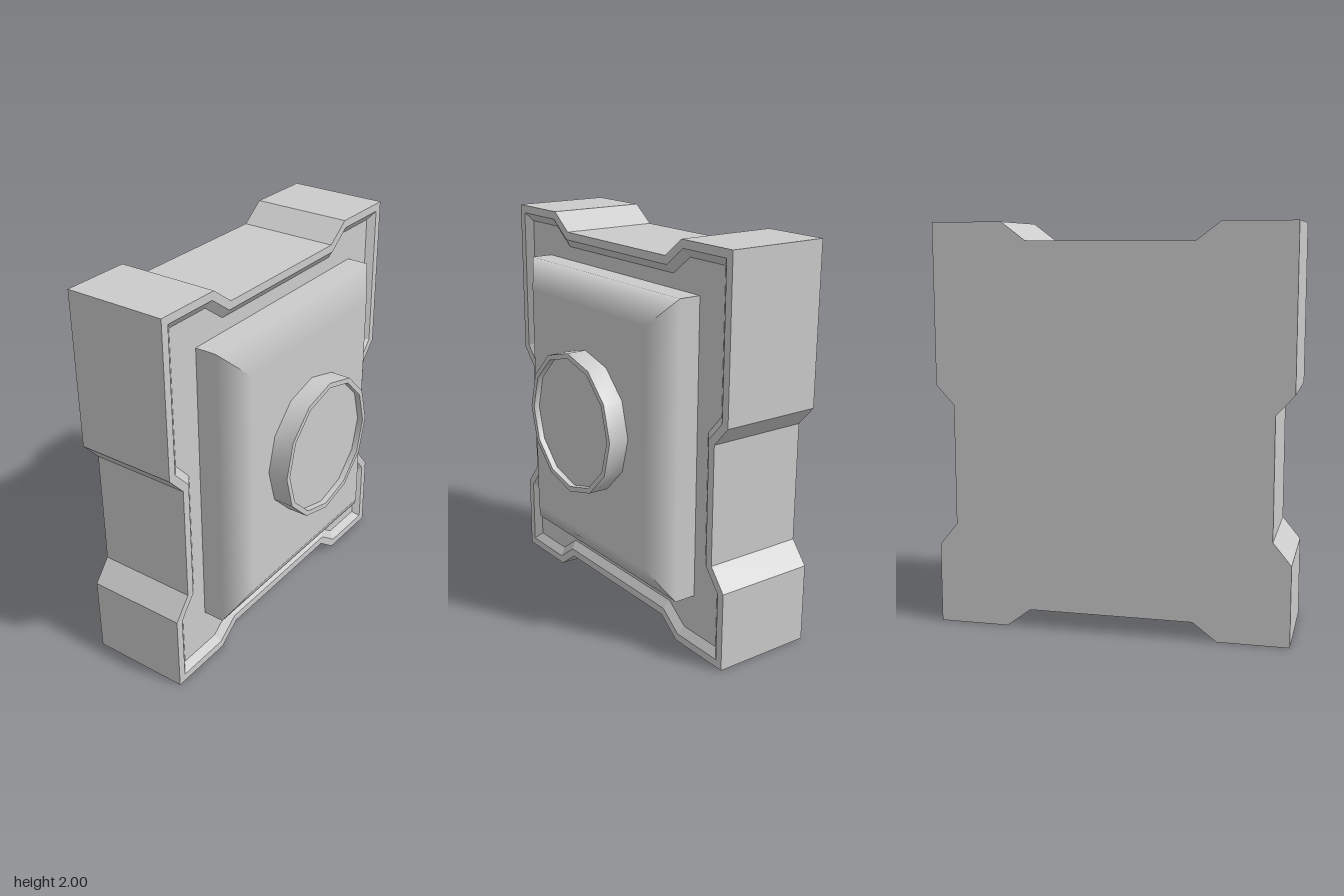
import * as THREE from 'three';
import { toCreasedNormals } from 'three/addons/utils/BufferGeometryUtils.js';

const material = new THREE.MeshStandardMaterial({ color: 0xcccccc });

// Skins rings of { pts, z, lean }; pts run counter-clockwise seen from the front.
// Lean blends the normal from sideways (0) to forwards (1); without it faces are flat.
function loft(rings) {
  const position = [], normal = [];
  const n = rings[0].pts.length;
  for (let r = 0; r < rings.length - 1; r++) {
    for (let i = 0; i < n; i++) {
      const j = (i + 1) % n;
      const [a, b] = [rings[0].pts[i], rings[0].pts[j]];
      const side = new THREE.Vector3(b.y - a.y, a.x - b.x, 0).normalize();
      for (const [k, m] of [[r, i], [r, j], [r + 1, j], [r, i], [r + 1, j], [r + 1, i]]) {
        const { pts, z, lean = 0 } = rings[k];
        position.push(pts[m].x, pts[m].y, z);
        normal.push(side.x * (1 - lean), side.y * (1 - lean), lean);
      }
    }
  }
  const geometry = new THREE.BufferGeometry();
  geometry.setAttribute('position', new THREE.Float32BufferAttribute(position, 3));
  if (rings[0].lean === undefined) geometry.computeVertexNormals();
  else geometry.setAttribute('normal', new THREE.Float32BufferAttribute(normal, 3));
  return geometry;
}

// Moves every edge of a counter-clockwise outline inwards by d, with mitred corners.
function inset(pts, d) {
  const n = pts.length;
  return pts.map((p, i) => {
    const u = p.clone().sub(pts[(i + n - 1) % n]).normalize();
    const v = pts[(i + 1) % n].clone().sub(p).normalize();
    const a = new THREE.Vector2(-u.y, u.x), b = new THREE.Vector2(-v.y, v.x);
    return p.clone().addScaledVector(a.clone().add(b), d / (1 + a.dot(b)));
  });
}

const cap = (pts, z) => new THREE.ShapeGeometry(new THREE.Shape(pts)).translate(0, 0, z);

function add(parent, name, geometry) {
  const mesh = new THREE.Mesh(geometry, material);
  mesh.name = name;
  parent.add(mesh);
  return mesh;
}

export function createModel() {
  const model = new THREE.Group();
  model.name = 'wallPanel';

  // Body outline with a shallow notch in each side
  const half = [
    [0.41, 0.09], [0.53, 0], [0.88, 0], [0.88, 0.4], [0.79, 0.51],
    [0.79, 1.11], [0.88, 1.21], [0.88, 2], [0.53, 2], [0.41, 1.91],
  ].map(([x, y]) => new THREE.Vector2(x, y));
  const outline = [...half, ...half.map((p) => new THREE.Vector2(-p.x, p.y)).reverse()];

  // Body with a raised rim sloping down to a sunken front
  const body = new THREE.Group();
  body.name = 'body';
  model.add(body);
  const floor = inset(outline, 0.08);
  add(body, 'bodyShell', loft([
    { pts: outline, z: -0.396 },
    { pts: outline, z: 0.124 },
    { pts: inset(outline, 0.04), z: 0.124 },
    { pts: floor, z: 0.094 },
  ]));
  add(body, 'sunkenFront', cap(floor, 0.094));
  add(body, 'back', cap(outline, 0.396).rotateY(Math.PI));

  // Raised panel with softly shaded bevels
  const panel = new THREE.Group();
  panel.name = 'raisedPanel';
  model.add(panel);
  const base = [[-0.63, 0.28], [0.63, 0.28], [0.63, 1.76], [-0.63, 1.76]]
    .map(([x, y]) => new THREE.Vector2(x, y));
  const face = inset(base, 0.14);
  add(panel, 'panelSides', loft([
    { pts: base, z: 0.09, lean: 0 },
    { pts: base, z: 0.205, lean: 0 },
    { pts: face, z: 0.293, lean: 1 },
  ]));
  add(panel, 'panelFace', cap(face, 0.293));

  // Twelve-sided boss with a thin lip around its sunken face
  const profile = [[0.358, 0.28], [0.358, 0.397], [0.332, 0.397], [0.332, 0.367], [0, 0.367]]
    .map(([r, h]) => new THREE.Vector2(r, h));
  const boss = toCreasedNormals(new THREE.LatheGeometry(profile, 12), 0.6);
  add(model, 'roundBoss', boss.rotateX(Math.PI / 2).translate(0, 1.046, 0));

  return model;
}
